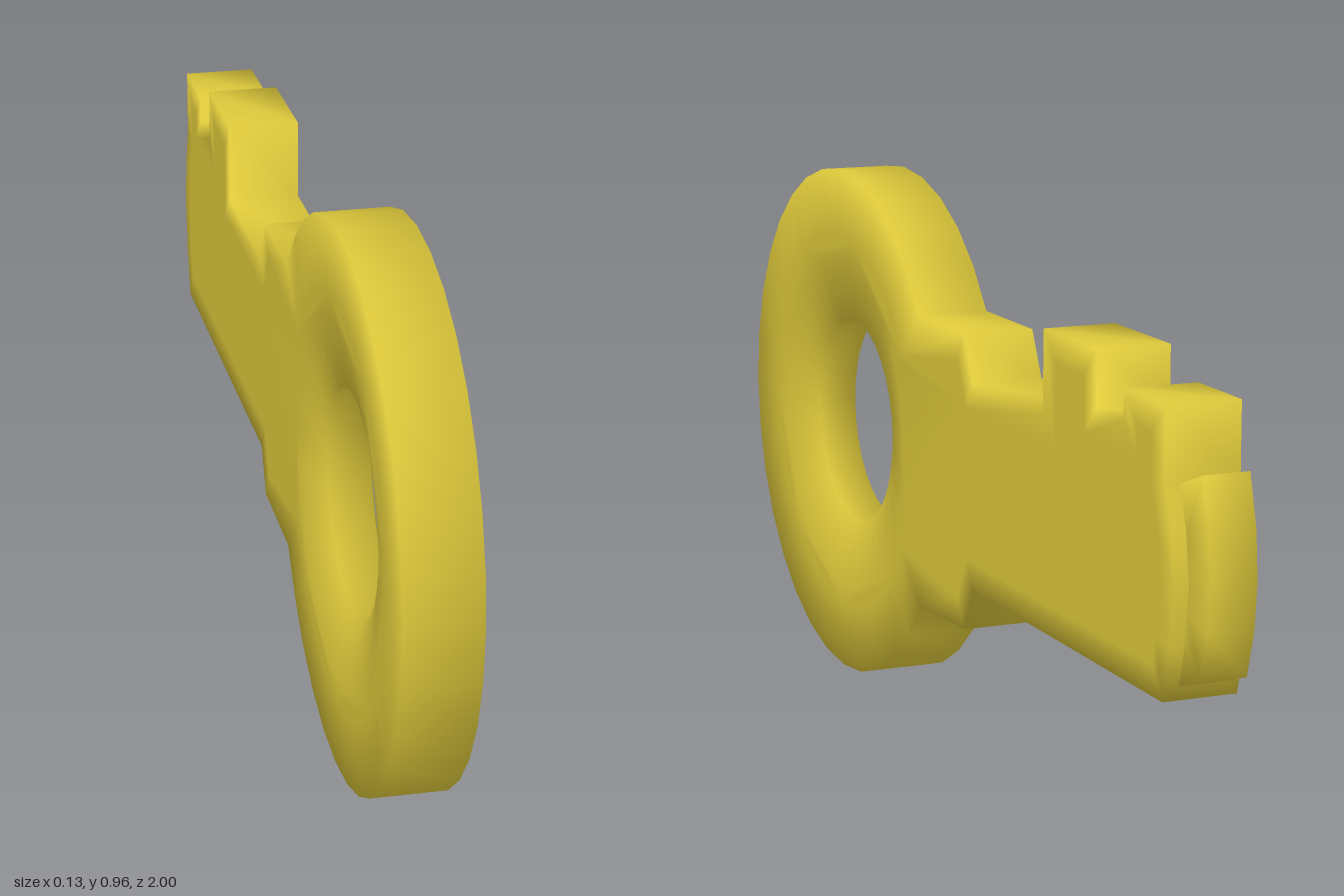
import * as THREE from 'three';
import { mergeVertices } from 'three/addons/utils/BufferGeometryUtils.js';

// Outlines use (s, y): s runs along -z, y is up.
const RING = new THREE.Vector2(-0.5175, 0.4825);
const OUTER = 0.4825, INNER = 0.195;
const points = list => list.map(([s, y]) => new THREE.Vector2(s, y));

// Points along a circle around the ring centre
function arc(radius, from, to, steps) {
  return Array.from({ length: steps }, (_, i) => {
    const t = from + (to - from) * i / (steps - 1);
    return new THREE.Vector2(RING.x + radius * Math.cos(t), RING.y + radius * Math.sin(t));
  });
}

// Offsets a counter-clockwise loop inwards with mitred corners
function insetLoop(loop, d) {
  const n = loop.length;
  const normal = (a, b) => new THREE.Vector2(a.y - b.y, b.x - a.x).normalize();
  return loop.map((p, i) => {
    const n1 = normal(loop[(i + n - 1) % n], p);
    const n2 = normal(p, loop[(i + 1) % n]);
    const k = d / (1 + n1.dot(n2));
    return n1.add(n2).multiplyScalar(k).add(p);
  });
}

// Flat plate: each border has an edge loop and a face loop; material lies on its left.
function plate(half, borders) {
  const pos = [];
  const put = (p, x) => pos.push(x, p.y, -p.x);
  for (const { edge, face, edgeHalf } of borders) {
    const chain = [[face, -half], [edge, -edgeHalf], [edge, edgeHalf], [face, half]];
    for (let c = 0; c < 3; c++) {
      const [A, xa] = chain[c], [B, xb] = chain[c + 1];
      for (let i = 0; i < A.length; i++) {
        const j = (i + 1) % A.length;
        put(A[i], xa); put(A[j], xa); put(B[j], xb);
        put(A[i], xa); put(B[j], xb); put(B[i], xb);
      }
    }
  }
  // Flat middle of both faces
  const loops = borders.map(b => b.face);
  const all = loops.flat();
  for (const [a, b, c] of THREE.ShapeUtils.triangulateShape(loops[0], loops.slice(1))) {
    put(all[a], half); put(all[b], half); put(all[c], half);
    put(all[c], -half); put(all[b], -half); put(all[a], -half);
  }
  let geo = new THREE.BufferGeometry();
  geo.setAttribute('position', new THREE.Float32BufferAttribute(pos, 3));
  geo = mergeVertices(geo, 1e-4);
  geo.computeVertexNormals();
  return geo;
}

export function createModel() {
  const group = new THREE.Group();
  group.name = 'key';
  const gold = new THREE.MeshStandardMaterial({ color: 0xdfca3b });
  gold.name = 'gold';

  // Ring handle, collar, blade and teeth in one outline
  const a = Math.asin(0.2675 / OUTER);
  const outline = [
    ...arc(OUTER, a, Math.PI * 2 - a, 27),
    ...points([
      [0.09, 0.22], [0.13, 0.30],                                // lower collar
      [0.89, 0.30], [0.914, 0.39], [0.927, 0.49], [0.914, 0.58], // blade and end
      [0.89, 0.65], [0.89, 0.77], [0.74, 0.77],                  // end tooth
      [0.74, 0.72], [0.64, 0.72],                                // notch
      [0.64, 0.815], [0.43, 0.815], [0.43, 0.67],                // inner tooth
      [0.13, 0.67], [0.09, 0.75],                                // upper collar
    ]),
  ];
  // On the ring the face loop sits near the middle, for a rounded look
  const face = insetLoop(outline, 0.05).map(p => {
    const r = p.distanceTo(RING);
    return r < 0.465 ? p.sub(RING).multiplyScalar(0.36 / r).add(RING) : p;
  });
  // The ring thins towards its hole
  const hole = radius => arc(radius, Math.PI * 2, 0, 33).slice(0, -1);
  const body = new THREE.Mesh(plate(0.065, [
    { edge: outline, face, edgeHalf: 0.065 },
    { edge: hole(INNER), face: hole(0.32), edgeHalf: 0.037 },
  ]), gold);
  body.name = 'keyBody';
  group.add(body);

  // Thinner curved tip at the end of the blade
  const tipOutline = points([
    [0.75, 0.32], [0.89, 0.322], [0.97, 0.35], [0.993, 0.43], [1.0, 0.51],
    [0.993, 0.59], [0.97, 0.675], [0.89, 0.645], [0.75, 0.645],
  ]);
  const tip = new THREE.Mesh(plate(0.04, [
    { edge: tipOutline, face: insetLoop(tipOutline, 0.07), edgeHalf: 0.04 },
  ]), gold);
  tip.name = 'bladeTip';
  group.add(tip);

  return group;
}
